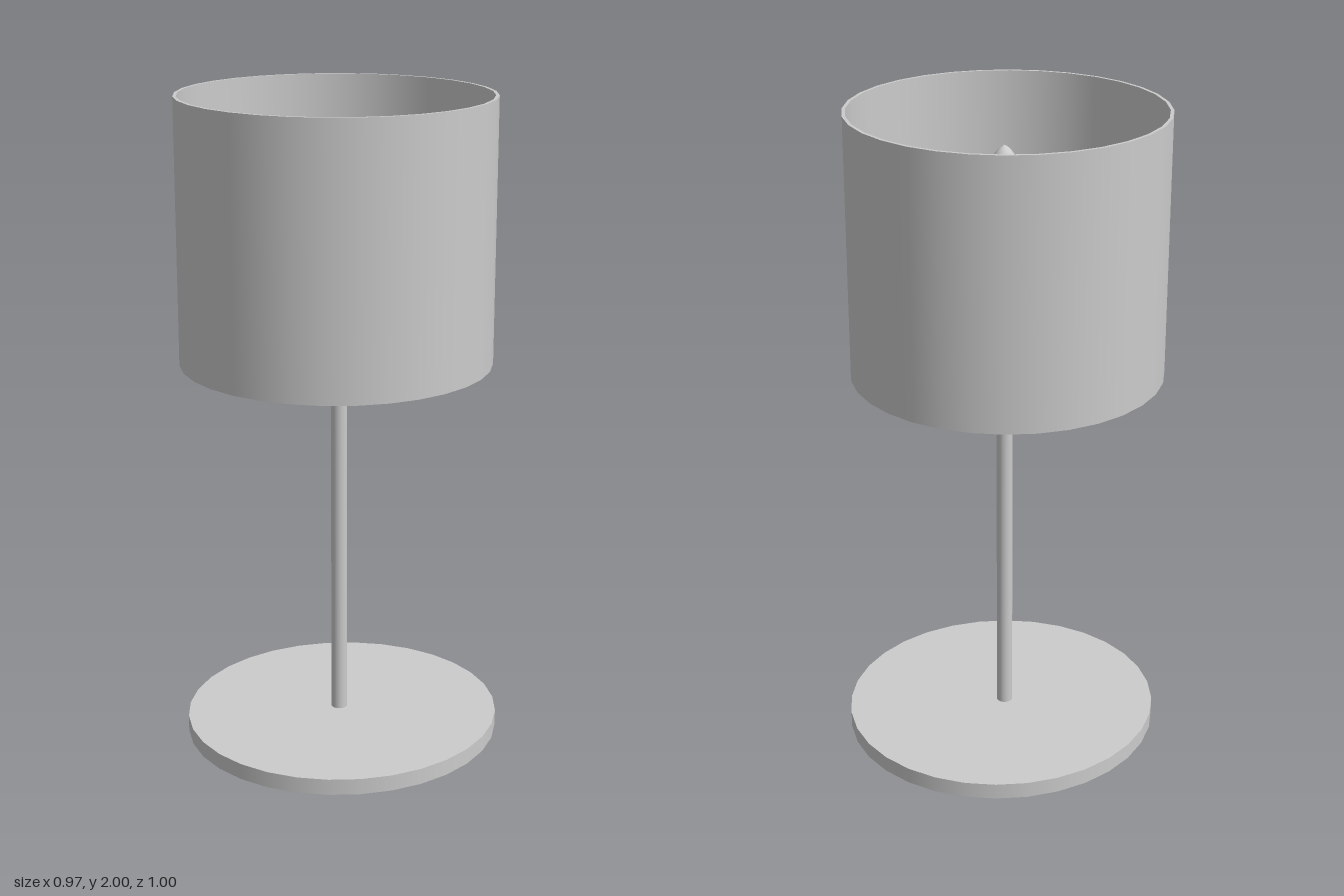
import * as THREE from 'three';

const SEGMENTS = 32;

export function createModel() {
  const lamp = new THREE.Group();
  lamp.name = 'tableLamp';
  const material = new THREE.MeshStandardMaterial({ color: 0xcccccc });
  const open = new THREE.MeshStandardMaterial({ color: 0xcccccc, side: THREE.DoubleSide });

  function add(name, geometry, x, y, z, mat = material) {
    const mesh = new THREE.Mesh(geometry, mat);
    mesh.name = name;
    mesh.position.set(x, y, z);
    lamp.add(mesh);
    return mesh;
  }

  // Slightly oval disc foot
  const base = add('base', new THREE.CylinderGeometry(1, 1, 0.05, SEGMENTS), 0, 0.025, 0);
  base.scale.set(0.483, 1, 0.498);

  // Upright post from the foot to the bulb
  add('post', new THREE.CylinderGeometry(0.025, 0.025, 1.47, 16), -0.012, 0.785, 0);

  // Thin drum shade, open at both ends
  const outer = 0.472, inner = 0.462, bottom = 1.2, top = 2;
  const walls = [
    [[outer, bottom], [outer, top]],
    [[outer, top], [inner, top]],
    [[inner, top], [inner, bottom]],
    [[inner, bottom], [outer, bottom]],
  ];
  const shadeParts = ['shadeOuter', 'shadeTopRim', 'shadeInner', 'shadeBottomRim'];
  walls.forEach((wall, i) => {
    const profile = wall.map(([r, y]) => new THREE.Vector2(r, y));
    add(shadeParts[i], new THREE.LatheGeometry(profile, SEGMENTS), -0.012, 0, 0.014, open);
  });

  // Crossed arms that carry the shade
  const armX = add('armAcross', new THREE.CylinderGeometry(0.0135, 0.0135, 0.882, 10), -0.009, 1.475, -0.003);
  armX.rotation.z = Math.PI / 2;
  const armZ = add('armFrontToBack', new THREE.CylinderGeometry(0.015, 0.015, 0.905, 10), -0.01, 1.49, 0.012);
  armZ.rotation.x = Math.PI / 2;

  // Bullet-shaped bulb, narrowing to the post
  const bulbCurve = new THREE.SplineCurve([
    [0.001, 1.5], [0.028, 1.51], [0.045, 1.56], [0.061, 1.63], [0.065, 1.7],
    [0.058, 1.78], [0.04, 1.85], [0.02, 1.885], [0.0, 1.9],
  ].map(([r, y]) => new THREE.Vector2(r, y)));
  const bulbProfile = bulbCurve.getPoints(24).map((p) => new THREE.Vector2(Math.max(p.x, 0), p.y));
  const bulb = add('bulb', new THREE.LatheGeometry(bulbProfile, 24), -0.011, 0, -0.002);
  bulb.scale.set(0.98, 1, 1.03);

  return lamp;
}
